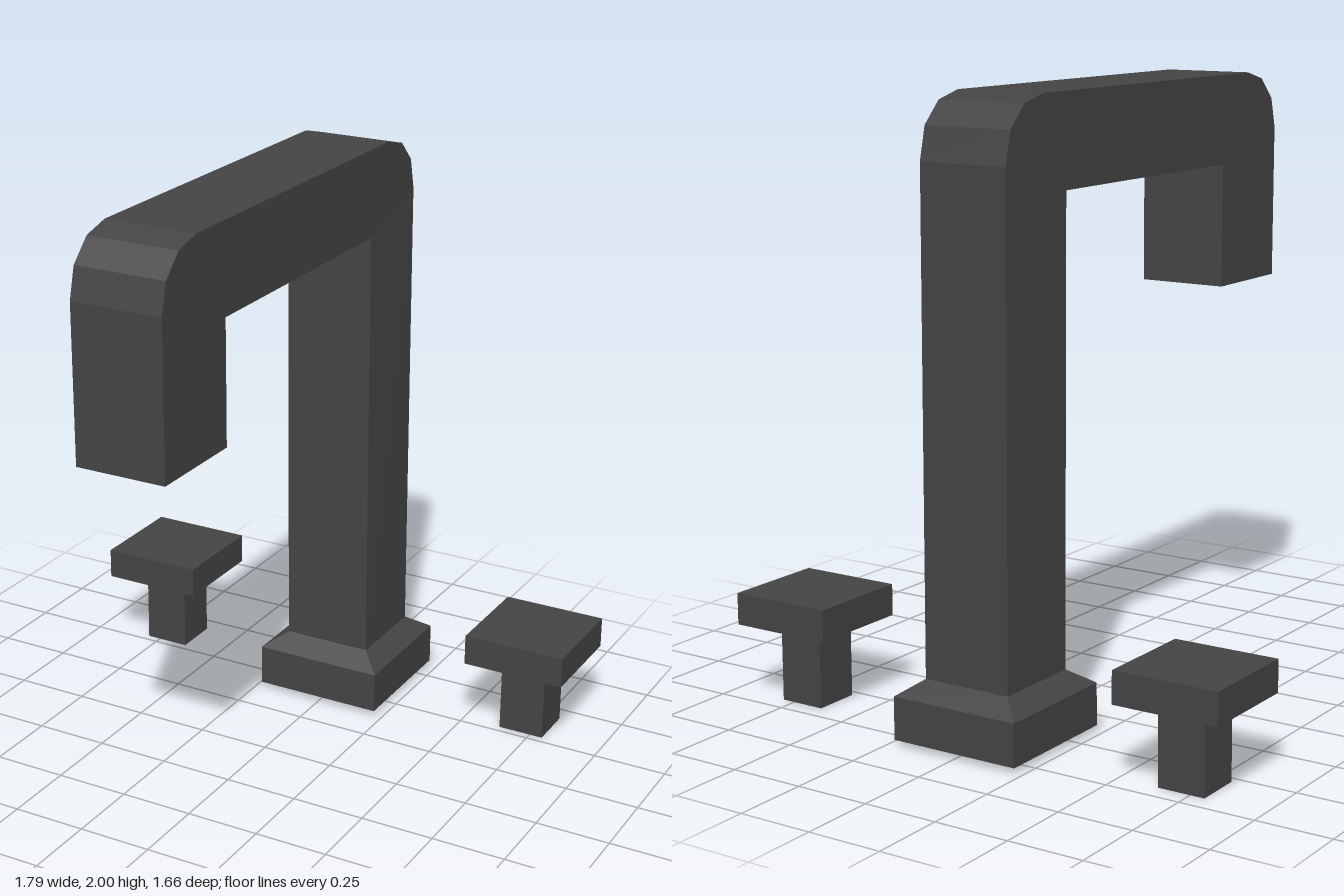
import * as THREE from 'three';

const metal = new THREE.MeshStandardMaterial({ color: 0x444444, side: THREE.DoubleSide });
metal.name = 'dark metal';

// Skin a run of four-cornered sections: [x0, x1, outer z, outer y, inner z, inner y].
// The start stays open, the end is capped.
function loft(name, sections) {
  const rings = sections.map(([x0, x1, oz, oy, iz, iy]) => [
    new THREE.Vector3(x0, oy, oz), new THREE.Vector3(x0, iy, iz),
    new THREE.Vector3(x1, iy, iz), new THREE.Vector3(x1, oy, oz),
  ]);
  const pos = [];
  const tri = (a, b, c) => {
    if (new THREE.Triangle(a, b, c).getArea() < 1e-7) return;
    for (const p of [a, b, c]) pos.push(p.x, p.y, p.z);
  };
  const quad = (a, b, c, d) => { tri(a, b, c); tri(a, c, d); };
  for (let r = 0; r + 1 < rings.length; r++) {
    for (let i = 0; i < 4; i++) {
      const j = (i + 1) % 4;
      quad(rings[r][i], rings[r][j], rings[r + 1][j], rings[r + 1][i]);
    }
  }
  quad(...rings[rings.length - 1]);
  const geo = new THREE.BufferGeometry();
  geo.setAttribute('position', new THREE.Float32BufferAttribute(pos, 3));
  geo.computeVertexNormals();
  const mesh = new THREE.Mesh(geo, metal);
  mesh.name = name;
  return mesh;
}

// Level square section centred on (x, z)
const level = (x, z, half, y) => [x - half, x + half, z - half, y, z + half, y];

// Column and arm section, leaning very slightly sideways with height
const bend = (oz, oy, iz, iy) => {
  const lean = -0.0025 - 0.0125 * Math.min(1, (oy - 0.2) / 1.6);
  return [lean - 0.154, lean + 0.154, oz, oy, iz, iy];
};

function createSpout() {
  const back = [-0.455, 1.705], front = [0.48, 1.705];
  return loft('spout', [
    // flared foot
    level(-0.0025, -0.605, 0.225, 0.02),
    level(-0.0025, -0.605, 0.225, 0.16),
    // column
    bend(-0.76, 0.21, -0.45, 0.21),
    // rear shoulder
    bend(-0.765, 1.8, ...back),
    bend(-0.74, 1.905, ...back),
    bend(-0.67, 1.975, ...back),
    bend(-0.575, 2, ...back),
    // front shoulder
    bend(0.64, 2, ...front),
    bend(0.735, 1.975, ...front),
    bend(0.805, 1.905, ...front),
    bend(0.83, 1.805, ...front),
    // outlet with its recess
    [-0.167, 0.14, 0.83, 1.295, 0.48, 1.295],
    [-0.107, 0.08, 0.755, 1.295, 0.555, 1.295],
    [-0.107, 0.08, 0.755, 1.5, 0.555, 1.5],
  ]);
}

function createHandle(name, x) {
  const z = -0.606;
  return loft(name, [
    level(x, z, 0.079, 0),
    level(x, z, 0.079, 0.265),
    level(x, z, 0.177, 0.265),
    level(x, z, 0.177, 0.37),
  ]);
}

export function createModel() {
  const model = new THREE.Group();
  model.name = 'faucet';
  model.add(createSpout(), createHandle('leftHandle', 0.716), createHandle('rightHandle', -0.719));
  return model;
}
